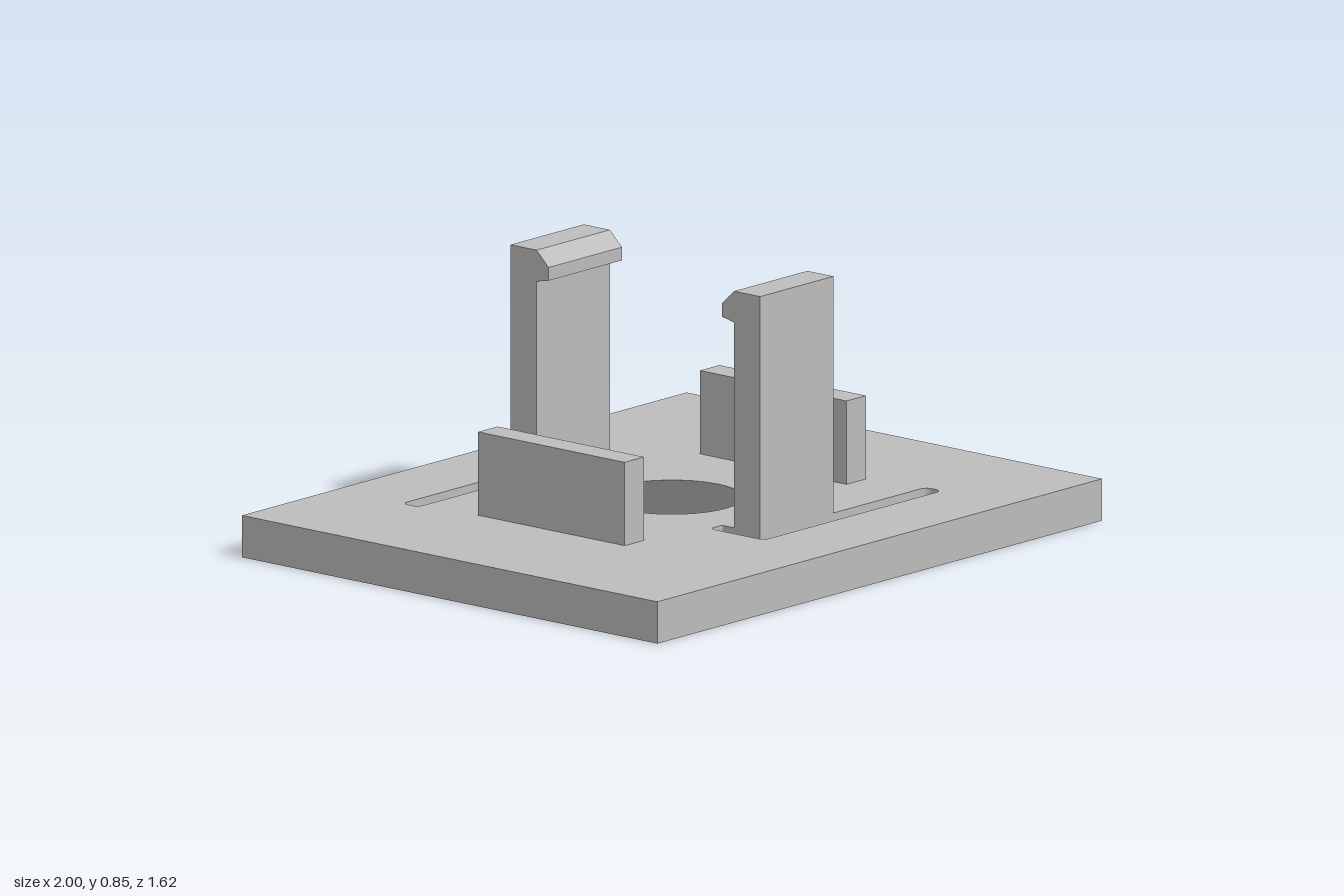
import * as THREE from 'three';

const T = 0.127;               // plate thickness
const HALF_Z = 0.81;
const R_TOP = 0.21, R_BOTTOM = 0.3, SEG = 48;

// closed loop through [x, y, corner radius]
function roundedLoop(pts) {
  const path = new THREE.Path();
  pts.forEach(([x, y, r], i) => {
    const c = new THREE.Vector2(x, y);
    const toward = ([px, py]) => new THREE.Vector2(px, py).sub(c).setLength(r).add(c);
    if (r === 0) {
      i ? path.lineTo(x, y) : path.moveTo(x, y);
      return;
    }
    const a = toward(pts[(i + pts.length - 1) % pts.length]);
    const b = toward(pts[(i + 1) % pts.length]);
    i ? path.lineTo(a.x, a.y) : path.moveTo(a.x, a.y);
    path.quadraticCurveTo(x, y, b.x, b.y);
  });
  path.closePath();
  return path.getPoints(6).slice(0, -1);
}

// vertical walls along a loop; outer loops run counterclockwise, holes clockwise
function wallGeometry(loop, hole) {
  const pts = THREE.ShapeUtils.isClockWise(loop) === hole ? loop : [...loop].reverse();
  const pos = [];
  pts.forEach((a, i) => {
    const b = pts[(i + 1) % pts.length];
    pos.push(a.x, 0, -a.y, b.x, 0, -b.y, b.x, T, -b.y);
    pos.push(a.x, 0, -a.y, b.x, T, -b.y, a.x, T, -a.y);
  });
  const g = new THREE.BufferGeometry();
  g.setAttribute('position', new THREE.Float32BufferAttribute(pos, 3));
  g.computeVertexNormals();
  return g;
}

// flat plate face with the slots and a round hole
function faceGeometry(outline, slots, radius, y, down) {
  const shape = new THREE.Shape(outline);
  slots.forEach((s) => shape.holes.push(new THREE.Path(s)));
  const circle = [];
  for (let i = 0; i < SEG; i++) {
    const a = (-i / SEG) * Math.PI * 2;
    circle.push(new THREE.Vector2(radius * Math.cos(a), radius * Math.sin(a)));
  }
  shape.holes.push(new THREE.Path(circle));
  const g = new THREE.ShapeGeometry(shape);
  g.rotateX(-Math.PI / 2).translate(0, y, 0);
  if (down) {
    g.index.array.reverse();
    g.computeVertexNormals();
  }
  return g;
}

export function createModel() {
  const grey = new THREE.MeshStandardMaterial({ color: 0xbcbcbc });
  grey.name = 'grey plastic';
  const model = new THREE.Group();
  model.name = 'clipMount';
  const add = (name, geometry, parent = model) => {
    const mesh = new THREE.Mesh(geometry, grey);
    mesh.name = name;
    parent.add(mesh);
    return mesh;
  };

  // base plate with two L-shaped slots
  const outline = [[-1, -HALF_Z], [1, -HALF_Z], [1, HALF_Z], [-1, HALF_Z]]
    .map(([x, y]) => new THREE.Vector2(x, y));
  const backSlot = roundedLoop([
    [-0.58, 0.487, 0.028], [-0.58, 0.55, 0.028], [0.22, 0.55, 0.025],
    [0.22, 0.338, 0.02], [0.165, 0.338, 0.005], [0.165, 0.487, 0],
  ]);
  const slots = [backSlot, backSlot.map((p) => p.clone().negate())];
  const plate = new THREE.Group();
  plate.name = 'basePlate';
  model.add(plate);
  add('plateTop', faceGeometry(outline, slots, R_TOP, T, false), plate);
  add('plateUnderside', faceGeometry(outline, slots, R_BOTTOM, 0, true), plate);
  add('plateEdge', wallGeometry(outline, false), plate);
  slots.forEach((s, i) => add(i ? 'frontSlotWall' : 'backSlotWall', wallGeometry(s, true), plate));

  // countersunk hole, wider below
  add('countersink', new THREE.LatheGeometry(
    [new THREE.Vector2(R_TOP, T), new THREE.Vector2(R_BOTTOM, 0)], SEG), plate);

  // low side walls
  for (const side of [1, -1]) {
    const rail = add(side > 0 ? 'leftRail' : 'rightRail', new THREE.BoxGeometry(0.087, 0.253, 0.572));
    rail.position.set(side * 0.499, T + 0.253 / 2, 0);
  }

  // tall snap arms with inward hooks
  const profile = new THREE.Shape([
    [0.487, T], [0.487, 0.845], [0.385, 0.845], [0.338, 0.8],
    [0.338, 0.76], [0.385, 0.75], [0.385, T],
  ].map(([z, y]) => new THREE.Vector2(z, y)));
  const armGeometry = new THREE.ExtrudeGeometry(profile, { depth: 0.33, bevelEnabled: false });
  armGeometry.translate(0, 0, -0.165).rotateY(-Math.PI / 2);
  add('frontSnapArm', armGeometry);
  add('backSnapArm', armGeometry).rotation.y = Math.PI;

  return model;
}
